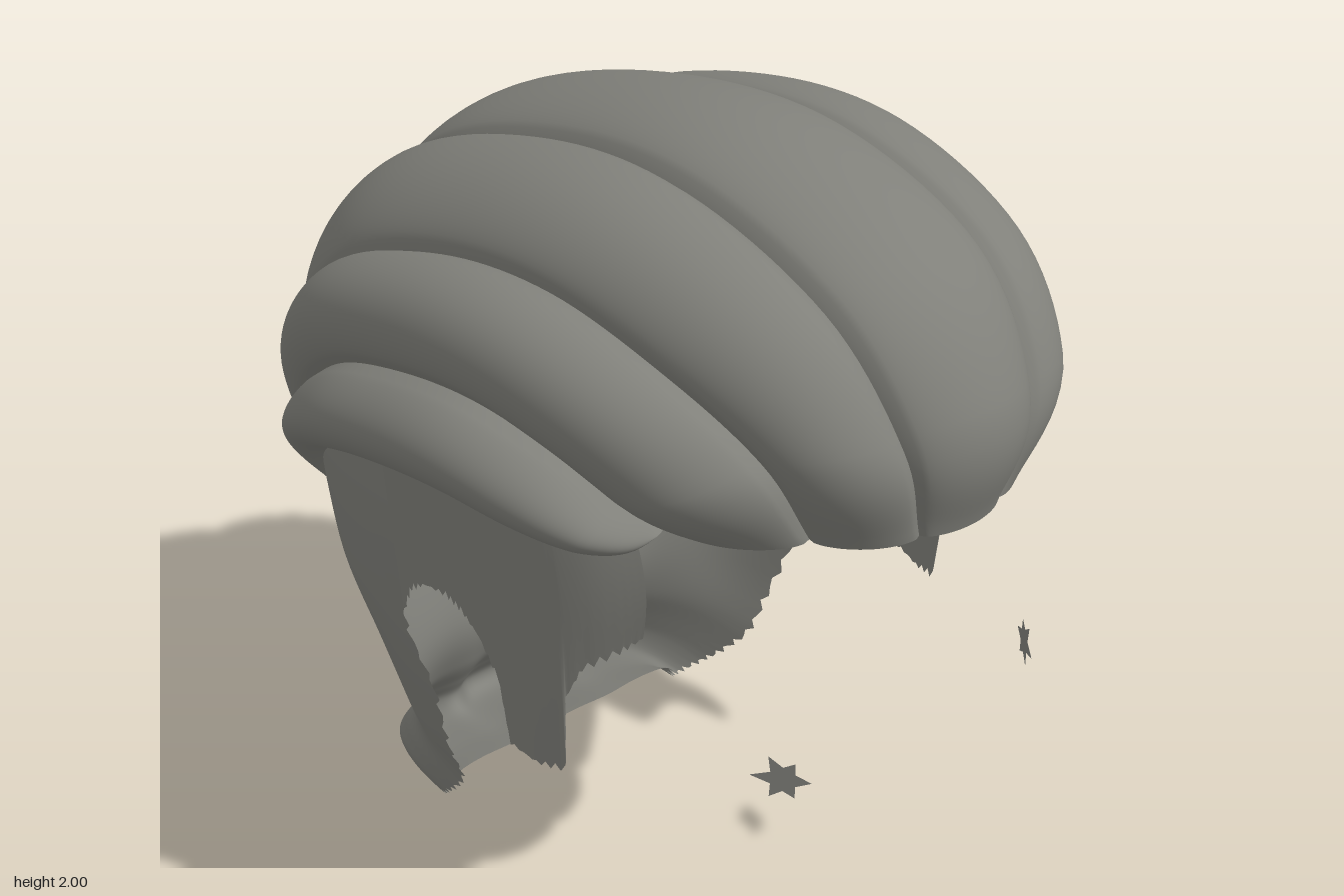
import * as THREE from 'three';

const V = (x, y, z) => new THREE.Vector3(x, y, z);
const curve = (pts) => new THREE.CatmullRomCurve3(pts.map((p) => V(...p)), false, 'catmullrom', 0.5);

// Grid surface from fn(u, v); faces point along du x dv
function grid(fn, nu, nv) {
  const pos = [], idx = [];
  for (let j = 0; j <= nv; j++) {
    for (let i = 0; i <= nu; i++) {
      const p = fn(i / nu, j / nv);
      pos.push(p.x, p.y, p.z);
      if (i < nu && j < nv) {
        const a = j * (nu + 1) + i, c = a + nu + 1;
        idx.push(a, a + 1, c, a + 1, c + 1, c);
      }
    }
  }
  const g = new THREE.BufferGeometry();
  g.setAttribute('position', new THREE.Float32BufferAttribute(pos, 3));
  g.setIndex(idx);
  g.computeVertexNormals();
  return g;
}
// Mirror a surface function in x, keeping it facing outward
const mirrored = (fn) => (u, v) => { const p = fn(1 - u, v); p.x = -p.x; return p; };

// Grooves between the locks, from fringe over the crown to the nape
const SEAMS = [
  [[.11, 1.34, .86], [.17, 1.55, .86], [.21, 1.78, .68], [.22, 1.905, .3], [.22, 1.885, -.1],
    [.23, 1.75, -.52], [.225, 1.5, -.78], [.21, 1.15, -.865], [.2, .78, -.735]],
  [[.28, 1.34, .73], [.37, 1.52, .69], [.45, 1.66, .52], [.5, 1.75, .22], [.53, 1.73, -.1],
    [.55, 1.61, -.42], [.53, 1.38, -.63], [.47, 1.1, -.71], [.42, .81, -.67]],
  [[.45, 1.34, .5], [.53, 1.41, .45], [.6, 1.49, .34], [.65, 1.54, .14], [.67, 1.52, -.08],
    [.67, 1.45, -.3], [.63, 1.3, -.5], [.56, 1.1, -.62], [.47, .9, -.67]],
  [[.5, 1.31, .47], [.57, 1.3, .4], [.62, 1.31, .27], [.65, 1.32, .1], [.66, 1.3, -.08],
    [.655, 1.26, -.25], [.63, 1.18, -.43], [.57, 1.06, -.57], [.49, .9, -.66]],
];

// Puffed lock stretched between two seams, thinning towards the nape
function lock(a, b, puff, taper) {
  return (u, t) => {
    const pa = a.getPoint(t), pb = b.getPoint(t);
    const across = pb.clone().sub(pa);
    const along = a.getTangent(t).add(b.getTangent(t));
    const n = across.clone().cross(along).normalize();
    const front = 0.45 + 0.55 * Math.min(1, t / 0.13);
    const back = Math.sin((Math.PI / 2) * Math.min(1, (1 - t) / taper));
    const bulge = puff * front * back * Math.pow(Math.max(0, Math.sin(Math.PI * u)), 0.52);
    return pa.addScaledVector(across, u).addScaledVector(n, bulge);
  };
}

// Back drape rows, top to tips and under: y, half width, front z, back z, lock split
const DRAPE = [
  [1.28, .64, -.12, -.79, 0], [1.12, .645, -.14, -.82, 0], [.95, .635, -.16, -.805, .05],
  [.8, .62, -.2, -.75, .1], [.62, .59, -.15, -.675, .12], [.4, .53, -.2, -.615, .2],
  [.24, .475, -.23, -.665, .45], [.12, .45, -.31, -.755, .8], [.045, .43, -.38, -.805, 1],
  [.006, .4, -.43, -.765, 1], [.035, .37, -.43, -.62, .6], [.085, .36, -.42, -.46, .2],
];
const drapeA = curve(DRAPE.map((r) => [r[1], r[0], r[2]]));
const drapeB = curve(DRAPE.map((r) => [r[3], r[4], 0]));
const spow = (s, e) => Math.sign(s) * Math.pow(Math.abs(s), e);

function drape(u, t) {
  const th = Math.PI * u, s = Math.pow(Math.max(0, Math.sin(th)), 0.7);
  // The upper edge runs along the lowest lock and then tucks under the lock ends
  const start = 0.2 * THREE.MathUtils.smoothstep(s, 0.45, 0.87);
  const v = start + (1 - start) * t;
  const A = drapeA.getPoint(v), B = drapeB.getPoint(v);
  const x = -A.x * spow(Math.cos(th), 0.7);
  // Three tips, split by notches, the outer ones higher
  const notch = Math.pow(Math.sin((Math.PI * x) / 0.32), 4) * B.y * s;
  const lift = 0.35 * x * x * B.y;
  const ragged = Math.pow(1 - s, 8) * 0.012 * Math.sin(v * 190);
  return V(x, A.y + 0.04 * notch + lift, A.z + (B.x - A.z) * s + 0.08 * notch + ragged);
}

// Side panel with sideburn: z, hem height
const HEM = [[.48, 1.07], [.44, 1.03], [.37, .97], [.33, .88], [.315, .68], [.24, .665],
  [.165, .68], [.15, .85], [.1, .94], [.05, .985], [0, 1], [-.08, .985], [-.14, .945], [-.19, .86]];
const panelTop = curve([[.5, 1.32, .49], [.58, 1.32, .38], [.63, 1.32, .26], [.655, 1.33, .1],
  [.66, 1.31, -.05], [.655, 1.27, -.2]]);

function panel(u, v) {
  const f = u * (HEM.length - 1), i = Math.min(HEM.length - 2, Math.floor(f)), k = f - i;
  const z = HEM[i][0] + (HEM[i + 1][0] - HEM[i][0]) * k;
  const hem = HEM[i][1] + (HEM[i + 1][1] - HEM[i][1]) * k + 0.01 * Math.sin(u * 230);
  // Find the head outline at this depth
  let lo = 0, hi = 1;
  for (let n = 0; n < 16; n++) {
    const m = (lo + hi) / 2;
    if (panelTop.getPoint(m).z > z) lo = m; else hi = m;
  }
  const top = panelTop.getPoint(lo);
  const y = hem + (top.y - hem) * v;
  return V(top.x - 0.06 * (top.y - y), y, z + 0.02 * Math.sin(Math.PI * v) * Math.max(0, z * 2));
}

// Small loose star-shaped wisp
function wisp() {
  const s = new THREE.Shape();
  for (let i = 0; i < 12; i++) {
    const r = i % 2 ? 0.03 : 0.06 + 0.01 * Math.sin(i * 2.3), a = (i / 12) * Math.PI * 2;
    if (i) s.lineTo(r * Math.cos(a), r * Math.sin(a));
    else s.moveTo(r, 0);
  }
  return new THREE.ShapeGeometry(s);
}

export function createModel() {
  const group = new THREE.Group();
  group.name = 'hair';
  const hair = new THREE.MeshStandardMaterial({ color: 0x80807a, side: THREE.DoubleSide });
  hair.name = 'ash grey hair';
  const add = (name, geo) => {
    const m = new THREE.Mesh(geo, hair);
    m.name = name;
    group.add(m);
    return m;
  };
  const pair = (name, fn, nu, nv) => {
    add(name + 'Left', grid(fn, nu, nv));
    add(name + 'Right', grid(mirrored(fn), nu, nv));
  };

  // Swept-back locks
  const seams = SEAMS.map(curve);
  const centreLeft = curve(SEAMS[0].map(([x, y, z]) => [-x, y, z]));
  add('centreLock', grid(lock(centreLeft, seams[0], 0.088, 0.26), 36, 72));
  [['upperLock', 0.08, 0.26], ['middleLock', 0.1, 0.5], ['lowerLock', 0.115, 0.42]].forEach(
    ([name, puff, taper], i) => pair(name, lock(seams[i], seams[i + 1], puff, taper), 32, 72));

  // Hanging hair at the back and sides
  add('backDrape', grid(drape, 96, 80));
  pair('sidePanel', panel, 78, 16);

  // Loose wisps in front of the temples
  for (const s of [1, -1]) {
    const w = add(s > 0 ? 'wispLeft' : 'wispRight', wisp());
    w.position.set(s * 0.37, 0.82, 0.77);
    w.rotation.y = s * 0.95;
  }
  return group;
}
